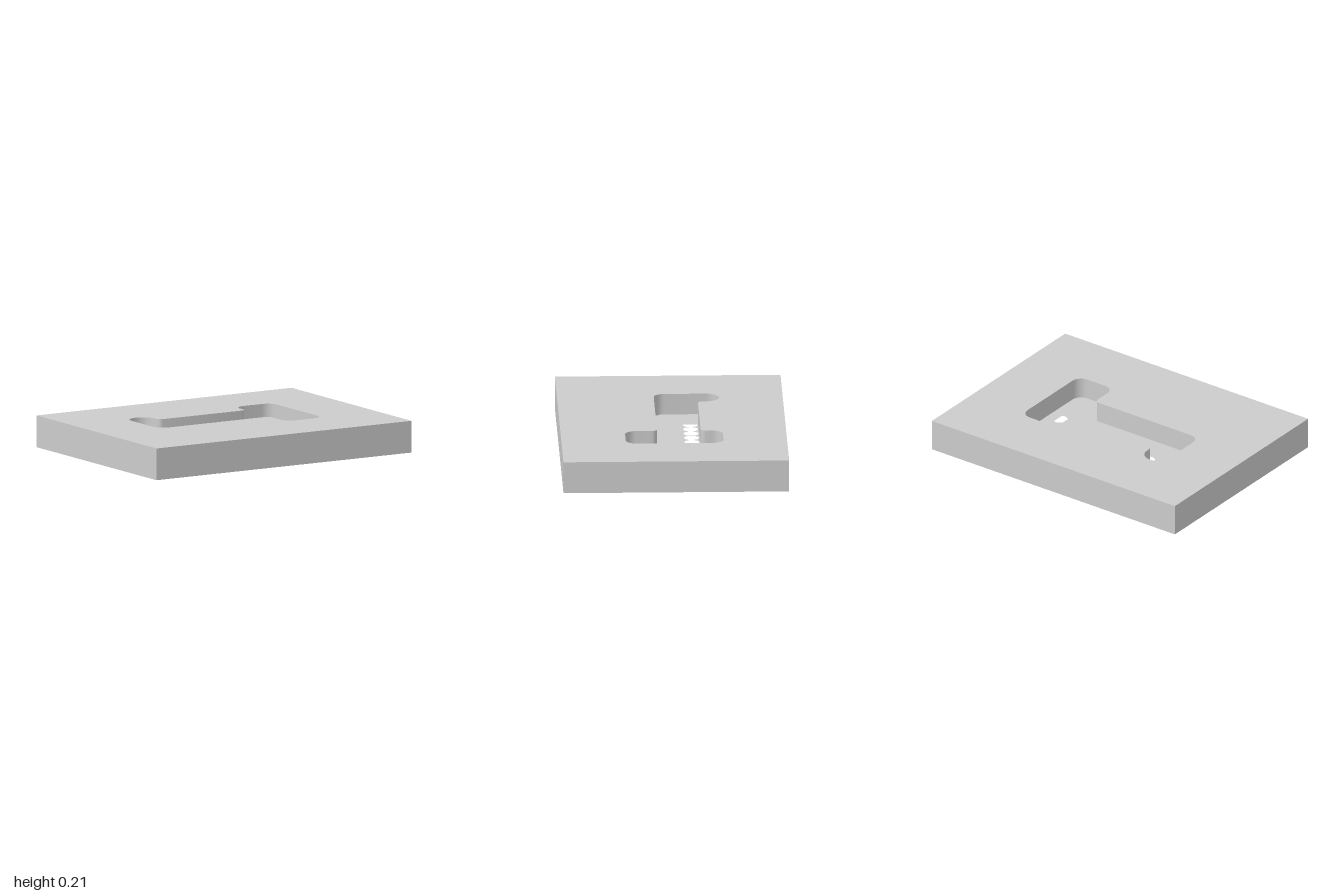
import * as THREE from 'three';
import { toCreasedNormals } from 'three/addons/utils/BufferGeometryUtils.js';

const HEIGHT = 0.214, FLOOR = 0.072;
const material = new THREE.MeshStandardMaterial({ color: 0xcccccc, side: THREE.DoubleSide });

// Points of a right-angled outline; each corner is [x, z, radius]
function roundedOutline(corners, steps = 10) {
  const n = corners.length, points = [];
  corners.forEach(([x, z, r], i) => {
    const p = new THREE.Vector2(x, z);
    if (!r) return points.push(p);
    const toward = ([a, b]) => new THREE.Vector2(a, b).sub(p).normalize();
    const d1 = toward(corners[(i + n - 1) % n]);
    const d2 = toward(corners[(i + 1) % n]);
    const centre = p.clone().addScaledVector(d1, r).addScaledVector(d2, r);
    for (let k = 0; k <= steps; k++) {
      const t = (k / steps) * Math.PI / 2;
      points.push(centre.clone()
        .addScaledVector(d2, -r * Math.cos(t))
        .addScaledVector(d1, -r * Math.sin(t)));
    }
  });
  return points;
}

// Flat horizontal sheet at height y, facing up or down, with holes
function sheet(name, outline, holes, y, up) {
  const s = up ? -1 : 1;
  const flip = (pts) => pts.map((p) => new THREE.Vector2(p.x, s * p.y));
  const shape = new THREE.Shape(flip(outline));
  holes.forEach((h) => shape.holes.push(new THREE.Path(flip(h))));
  const geometry = new THREE.ShapeGeometry(shape);
  geometry.rotateX(s * Math.PI / 2).translate(0, y, 0);
  return named(name, geometry);
}

// Vertical band following a closed outline between two heights
function band(name, outline, y0, y1) {
  const pos = [];
  outline.forEach((a, i) => {
    const b = outline[(i + 1) % outline.length];
    pos.push(a.x, y0, a.y, b.x, y0, b.y, b.x, y1, b.y);
    pos.push(a.x, y0, a.y, b.x, y1, b.y, a.x, y1, a.y);
  });
  const geometry = new THREE.BufferGeometry();
  geometry.setAttribute('position', new THREE.Float32BufferAttribute(pos, 3));
  geometry.computeVertexNormals();
  return named(name, toCreasedNormals(geometry, Math.PI / 6));
}

function named(name, geometry) {
  const mesh = new THREE.Mesh(geometry, material);
  mesh.name = name;
  return mesh;
}

const rectangle = (x0, x1, z0, z1) =>
  roundedOutline([[x0, z0, 0], [x1, z0, 0], [x1, z1, 0], [x0, z1, 0]]);

const circle = (x, z, r) =>
  new THREE.Path().absarc(x, z, r, 0, Math.PI * 2).getPoints(40).slice(0, -1);

export function createModel() {
  const group = new THREE.Group();
  group.name = 'pocketedPlate';

  const block = rectangle(-1, 1, -0.75, 0.75);
  const opening = rectangle(-0.575, 0.575, -0.327, 0.322);

  // Pocket with a short lobe at one end and a crossbar at the other
  const R = 0.072, r = 0.035;
  const pocket = roundedOutline([
    [-0.575, -0.327, 0.088], [-0.396, -0.327, 0.088], [-0.396, -0.183, r],
    [0.286, -0.183, r], [0.286, -0.327, R], [0.575, -0.327, R],
    [0.575, 0.322, R], [0.286, 0.322, R], [0.286, 0.107, r], [-0.575, 0.107, R],
  ]);

  // Row of six holes plus a single one in the crossbar
  const holes = [circle(0.48, -0.017, 0.049)];
  for (let i = 0; i < 6; i++) holes.push(circle(-0.324 + i * 0.1, -0.13, 0.049));

  group.add(
    sheet('topFace', block, [pocket], HEIGHT, true),
    sheet('bottomFace', block, [opening], 0, false),
    band('outerSides', [...block].reverse(), 0, HEIGHT),
    band('pocketWalls', pocket, FLOOR, HEIGHT),
    sheet('pocketFloor', pocket, holes, FLOOR, true),
  );
  return group;
}
